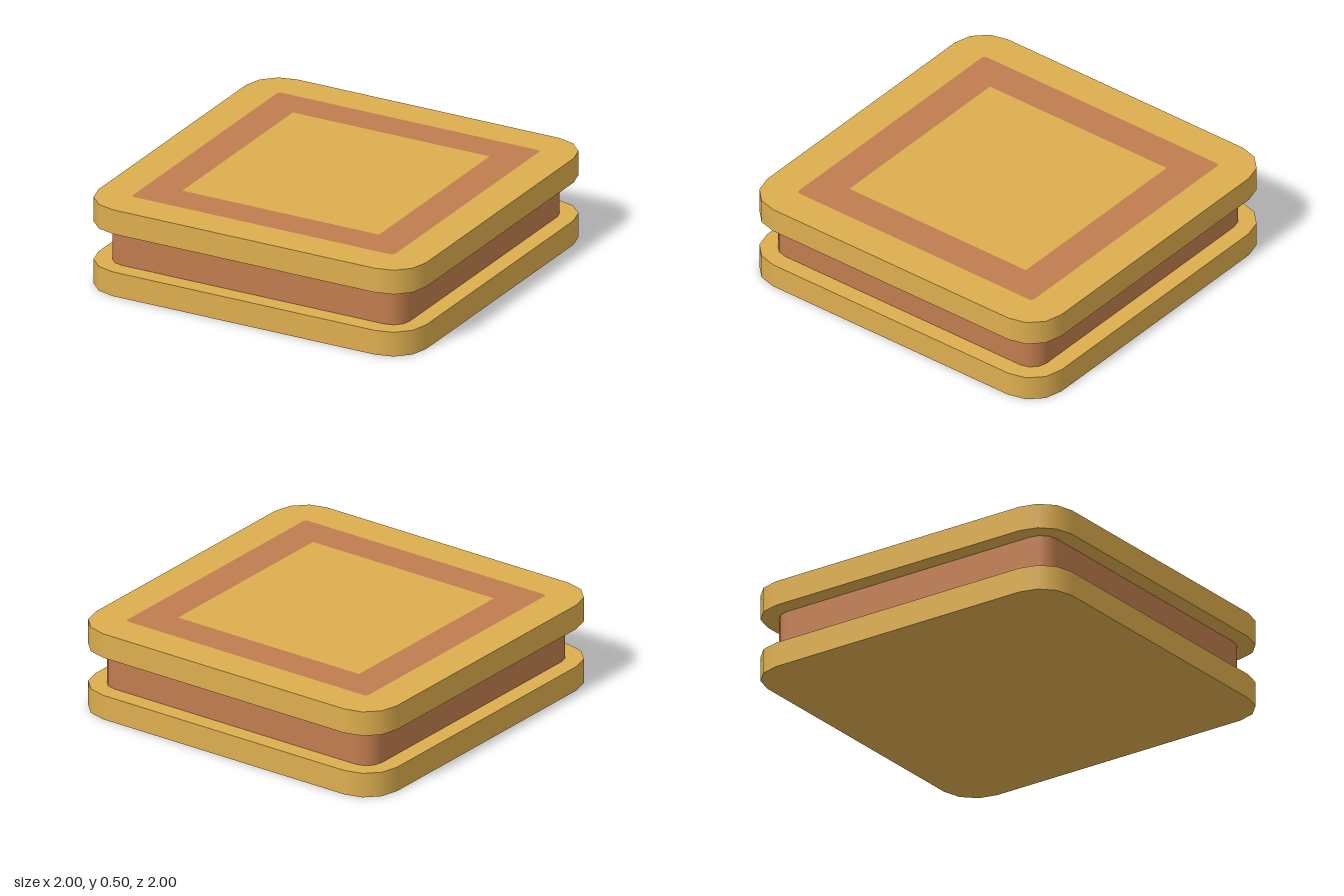
import * as THREE from 'three';

const biscuit = new THREE.MeshStandardMaterial({ color: 0xdcad4e });
const filling = new THREE.MeshStandardMaterial({ color: 0xc07c4e });

// Square outline with rounded corners of three facets each
function roundedSquare(half, radius) {
  const points = [];
  const c = half - radius;
  for (let corner = 0; corner < 4; corner++) {
    const start = corner * Math.PI / 2;
    const mid = start + Math.PI / 4;
    for (let i = 0; i <= 3; i++) {
      const a = start + i * Math.PI / 6;
      points.push(new THREE.Vector2(
        Math.sign(Math.cos(mid)) * c + radius * Math.cos(a),
        Math.sign(Math.sin(mid)) * c + radius * Math.sin(a)));
    }
  }
  return new THREE.Shape(points);
}

// Flat slab with sharp rims and smoothly shaded corners
function slab(name, half, radius, bottom, top, material) {
  const geometry = new THREE.ExtrudeGeometry(roundedSquare(half, radius),
    { depth: top - bottom, bevelEnabled: false });
  const p = geometry.attributes.position;
  const n = geometry.attributes.normal;
  const c = half - radius;
  const v = new THREE.Vector3();
  for (let i = 0; i < p.count; i++) {
    if (Math.abs(n.getZ(i)) > 0.5) continue;
    const x = p.getX(i), y = p.getY(i);
    v.set(x - THREE.MathUtils.clamp(x, -c, c), y - THREE.MathUtils.clamp(y, -c, c), 0).normalize();
    n.setXYZ(i, v.x, v.y, 0);
  }
  geometry.rotateX(-Math.PI / 2).translate(0, bottom, 0);
  const mesh = new THREE.Mesh(geometry, material);
  mesh.name = name;
  return mesh;
}

export function createModel() {
  const group = new THREE.Group();
  group.name = 'layeredTile';

  // Two wide plates with a narrower layer between them
  group.add(
    slab('bottomPlate', 1, 0.2, 0, 0.14, biscuit),
    slab('middleLayer', 0.9, 0.1, 0.14, 0.36, filling),
    slab('topPlate', 1, 0.2, 0.36, 0.5, biscuit));

  // Square border laid flush into the top plate
  const border = roundedSquare(0.8, 0.02);
  border.holes.push(new THREE.Path([[-0.6, -0.6], [-0.6, 0.6], [0.6, 0.6], [0.6, -0.6]]
    .map(([x, y]) => new THREE.Vector2(x, y))));
  const inlay = new THREE.Mesh(
    new THREE.ShapeGeometry(border).rotateX(-Math.PI / 2).translate(0, 0.502, 0), filling);
  inlay.name = 'borderInlay';
  group.add(inlay);

  return group;
}
